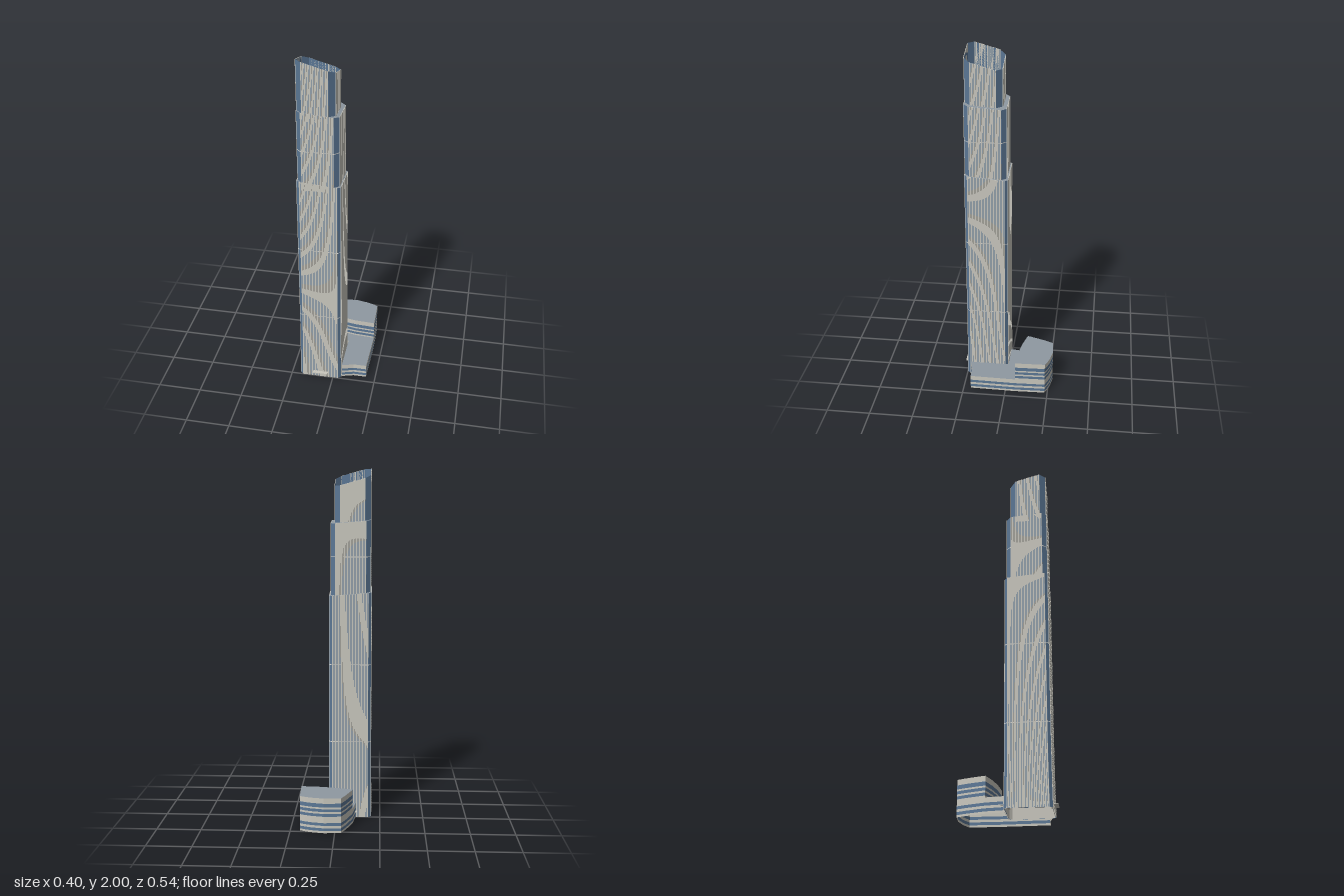
import * as THREE from 'three';
import { mergeGeometries } from 'three/addons/utils/BufferGeometryUtils.js';

const stone = new THREE.MeshStandardMaterial({ color: 0xc9c7be, side: THREE.DoubleSide });
stone.name = 'warm stone';
const glass = new THREE.MeshStandardMaterial({ color: 0x5c7896, side: THREE.DoubleSide });
glass.name = 'blue glass';
const roofing = new THREE.MeshStandardMaterial({ color: 0x8f99a1, side: THREE.DoubleSide });
roofing.name = 'grey roof';
const trim = new THREE.MeshStandardMaterial({ color: 0xe4e3de });
trim.name = 'pale trim';

function mesh(name, geometry, material) {
  const m = new THREE.Mesh(geometry, material);
  m.name = name;
  return m;
}

function flatGeometry(positions) {
  const g = new THREE.BufferGeometry();
  g.setAttribute('position', new THREE.Float32BufferAttribute(positions, 3));
  g.computeVertexNormals();
  return g;
}

// Joins closed sections of [x, y, z] points from bottom to top
function loft(sections, capTop = false) {
  const p = [];
  for (let k = 0; k < sections.length - 1; k++) {
    const lo = sections[k], hi = sections[k + 1], n = lo.length;
    for (let i = 0; i < n; i++) {
      const j = (i + 1) % n;
      p.push(...lo[i], ...lo[j], ...hi[j], ...lo[i], ...hi[j], ...hi[i]);
    }
  }
  if (capTop) p.push(...cap(sections.at(-1)));
  return flatGeometry(p);
}

function cap(section) {
  const p = [];
  for (let i = 1; i < section.length - 1; i++) p.push(...section[0], ...section[i], ...section[i + 1]);
  return p;
}

// Square plan with cut corners; even sides are facades, odd sides the corners
function octagon({ x0, x1, z0, z1, c }, grow = 0) {
  const a = x0 - grow, b = x1 + grow, d = z0 - grow, e = z1 + grow;
  return [[a + c, e], [b - c, e], [b, e - c], [b, d + c], [b - c, d], [a + c, d], [a, d + c], [a, e - c]];
}

const raise = (pts, y) => pts.map(([x, z]) => [x, typeof y === 'function' ? y(x, z) : y, z]);

// One facade fin's rectangular plan, standing out from the wall
function finPlan(ring, side, t0, t1, depth) {
  const [ax, az] = ring[side], [bx, bz] = ring[(side + 1) % 8];
  const dx = bx - ax, dz = bz - az, len = Math.hypot(dx, dz);
  const nx = -dz / len * depth, nz = dx / len * depth;
  const p = [ax + dx * t0, az + dz * t0], q = [ax + dx * t1, az + dz * t1];
  return [[p[0] + nx, p[1] + nz], [q[0] + nx, q[1] + nz], q, p];
}

function tier(name, plan, levels, top, flare, bands) {
  const g = new THREE.Group();
  g.name = name;
  const rings = levels.map(y => octagon(plan, flare(y)));
  rings.push(octagon(plan));
  const heights = [...levels, top];
  g.add(mesh(name + 'Glass', loft(rings.map((r, k) => raise(r, heights[k]))), glass));

  const fins = [];
  for (let side = 0; side < 8; side += 2) {
    const span = side % 4 === 0 ? plan.x1 - plan.x0 : plan.z1 - plan.z0;
    const count = Math.round((span - 2 * plan.c) / 0.0085);
    for (let i = 0; i < count; i++) {
      const t0 = (i + 0.12) / count, t1 = (i + 0.88) / count;
      fins.push(loft(rings.map((r, k) => raise(finPlan(r, side, t0, t1, 0.003), heights[k])), true));
    }
  }
  g.add(mesh(name + 'Fins', mergeGeometries(fins), stone));

  // Thin floor bands between the fins
  for (const y of bands) {
    const r = octagon(plan, flare(y) + 0.002);
    g.add(mesh(name + 'Band', loft([raise(r, y - 0.002), raise(r, y + 0.002)]), trim));
  }
  return g;
}

// Flat plate from a plan outline
function plate(outline, y) {
  const shape = new THREE.Shape(outline.map(([x, z]) => new THREE.Vector2(x, -z)));
  return new THREE.ShapeGeometry(shape).rotateX(-Math.PI / 2).translate(0, y, 0);
}

// Podium walls in alternating bands, starting with stone
function bandedBlock(name, outline, ys) {
  const g = new THREE.Group();
  g.name = name;
  for (let k = 0; k < ys.length - 1; k++) {
    const band = loft([raise(outline, ys[k]), raise(outline, ys[k + 1])]);
    g.add(mesh(k % 2 ? name + 'Windows' : name + 'Wall', band, k % 2 ? glass : stone));
  }
  g.add(mesh(name + 'Roof', plate(outline, ys.at(-1)), roofing));
  return g;
}

export function createModel() {
  const model = new THREE.Group();
  model.name = 'skyscraper';

  // Three stepped tower tiers with sloping tops
  const lower = { x0: -0.193, x1: 0.043, z0: 0.004, z1: 0.243, c: 0.014 };
  const middle = { x0: -0.188, x1: 0.035, z0: 0.013, z1: 0.242, c: 0.024 };
  const upper = { x0: -0.187, x1: 0.014, z0: 0.036, z1: 0.239, c: 0.03 };
  const lowerTop = (x, z) => 1.33 - 0.08 * (x + 0.2) - 0.08 * (0.25 - z);
  const middleTop = (x, z) => 1.73 - 0.08 * (x + 0.19) - 0.08 * (0.245 - z);
  const upperTop = (x, z) => Math.min(2, 2 - 0.28 * (x + 0.157) - 0.28 * (0.239 - z));
  const flare = y => 0.004 * Math.max(0, 1 - y / 0.45) ** 2;
  const none = () => 0;

  model.add(tier('lowerTier', lower, [0, 0.1, 0.2, 0.32, 0.45], lowerTop, flare, [0.45, 0.9]));
  model.add(tier('middleTier', middle, [1.28], middleTop, none, [1.51]));
  model.add(tier('upperTier', upper, [1.68], upperTop, none, []));

  // Ledges at the setbacks and the sunken top roof
  model.add(mesh('lowerLedge', flatGeometry(cap(raise(octagon(lower), lowerTop))), roofing));
  model.add(mesh('middleLedge', flatGeometry(cap(raise(octagon(middle), middleTop))), roofing));
  model.add(mesh('topRoof', plate(octagon(upper), 1.77), roofing));

  // Lobby lining and ceiling inside the open base
  const lining = octagon(lower, 0.0005);
  model.add(mesh('lobbyLining', loft([raise(lining, 0), raise(lining, 0.06)]), stone));
  model.add(mesh('lobbyCeiling', plate(lining, 0.06), roofing));

  // Podium: a low block wrapping the tower and a taller block at the back
  const divide = [[-0.095, -0.107], [-0.01, -0.083], [0.085, -0.066], [0.2, -0.058]];
  const back = [[0.195, -0.233], [0.165, -0.247], [0.13, -0.259], [0.06, -0.272], [-0.035, -0.265],
    [-0.058, -0.215], [-0.088, -0.13]];
  const front = [[-0.109, -0.004], [0.051, -0.004], [0.051, 0.228], [0.12, 0.208], [0.195, 0.208], [0.2, -0.058]];
  model.add(bandedBlock('lowPodium', [...front, ...back, divide[0]],
    [0, 0.012, 0.028, 0.042, 0.058, 0.085]));
  model.add(bandedBlock('highPodium', [...divide, ...back],
    [0.085, 0.095, 0.111, 0.122, 0.138, 0.148, 0.17, 0.2]));

  // Entrance canopies
  for (const [name, z] of [['frontCanopy', 0.25], ['backCanopy', -0.005]]) {
    model.add(mesh(name, new THREE.BoxGeometry(0.09, 0.004, 0.04).translate(-0.074, 0.036, z), stone));
  }
  return model;
}
